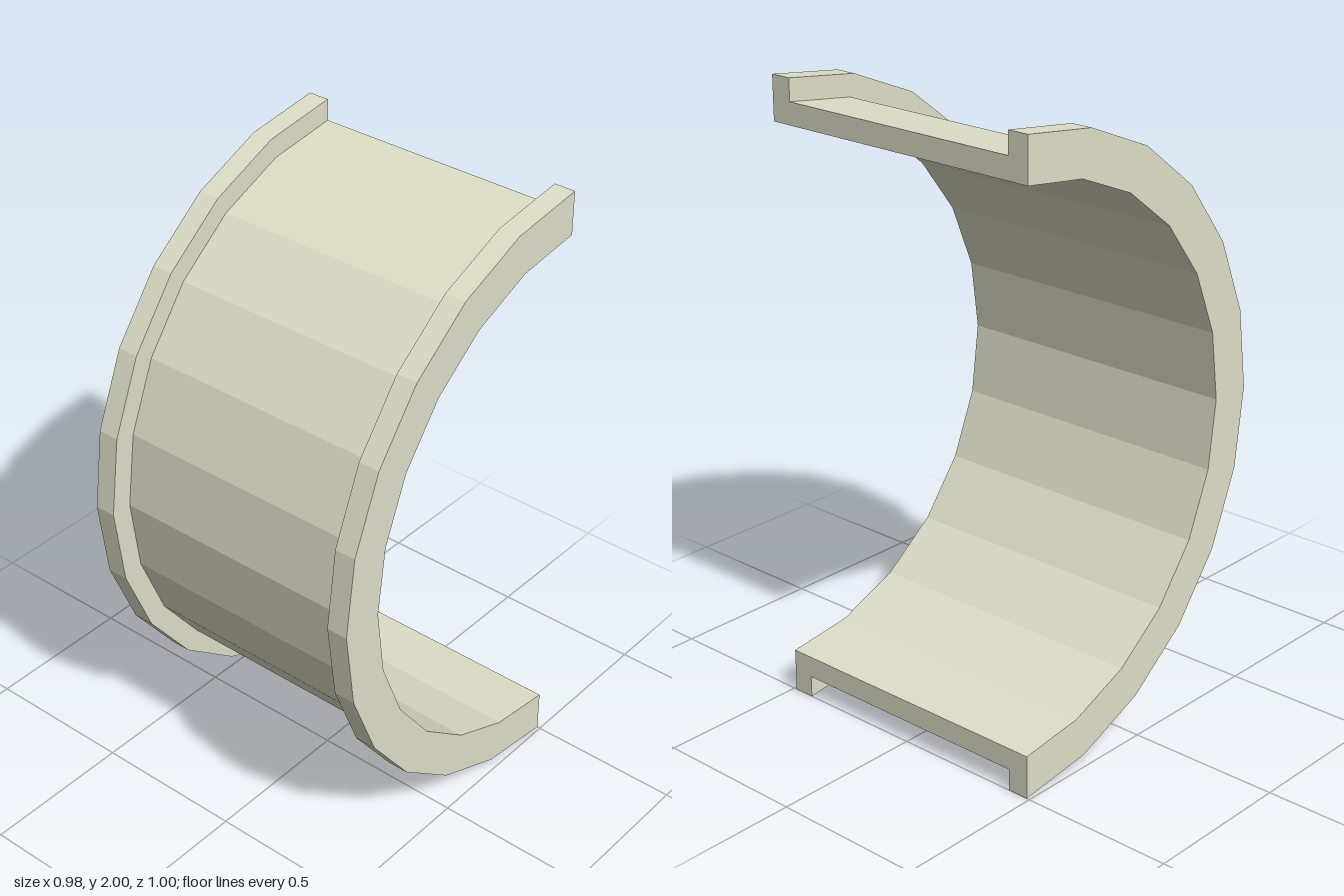
import * as THREE from 'three';

const CENTRE_Y = 1, BACK_Z = -0.5;
const INNER = 0.86, WEB = 0.93, OUTER = 1; // radii
const HALF_WIDTH = 0.49, HALF_GROOVE = 0.42;

// Channel cross-section as [radius, position along x], outer side first
const section = [
  [INNER, -HALF_WIDTH], [OUTER, -HALF_WIDTH], [OUTER, -HALF_GROOVE], [WEB, -HALF_GROOVE],
  [WEB, HALF_GROOVE], [OUTER, HALF_GROOVE], [OUTER, HALF_WIDTH], [INNER, HALF_WIDTH],
];

export function createModel() {
  const model = new THREE.Group();
  model.name = 'flangedHalfRing';
  const material = new THREE.MeshStandardMaterial({ color: 0xdedec8, flatShading: true });

  const add = (name, geometry) => {
    const mesh = new THREE.Mesh(geometry, material);
    mesh.name = name;
    model.add(mesh);
  };

  // Half ring: closed section swept 180 degrees in 12 facets, axis turned onto x
  const profile = [...section, section[0]].map(([r, x]) => new THREE.Vector2(r, x));
  const ring = new THREE.LatheGeometry(profile, 12, 0, Math.PI);
  ring.applyMatrix4(new THREE.Matrix4().makeBasis(
    new THREE.Vector3(0, 0, 1), new THREE.Vector3(1, 0, 0), new THREE.Vector3(0, 1, 0)));
  ring.translate(0, CENTRE_Y, BACK_Z);
  add('channelRing', ring);

  // Flat end faces at the back, above and below the axis
  for (const [name, side] of [['upperEndFace', 1], ['lowerEndFace', -1]]) {
    const shape = new THREE.Shape(
      section.map(([r, x]) => new THREE.Vector2(x, CENTRE_Y + side * r)));
    add(name, new THREE.ShapeGeometry(shape).rotateY(Math.PI).translate(0, 0, BACK_Z));
  }

  return model;
}
